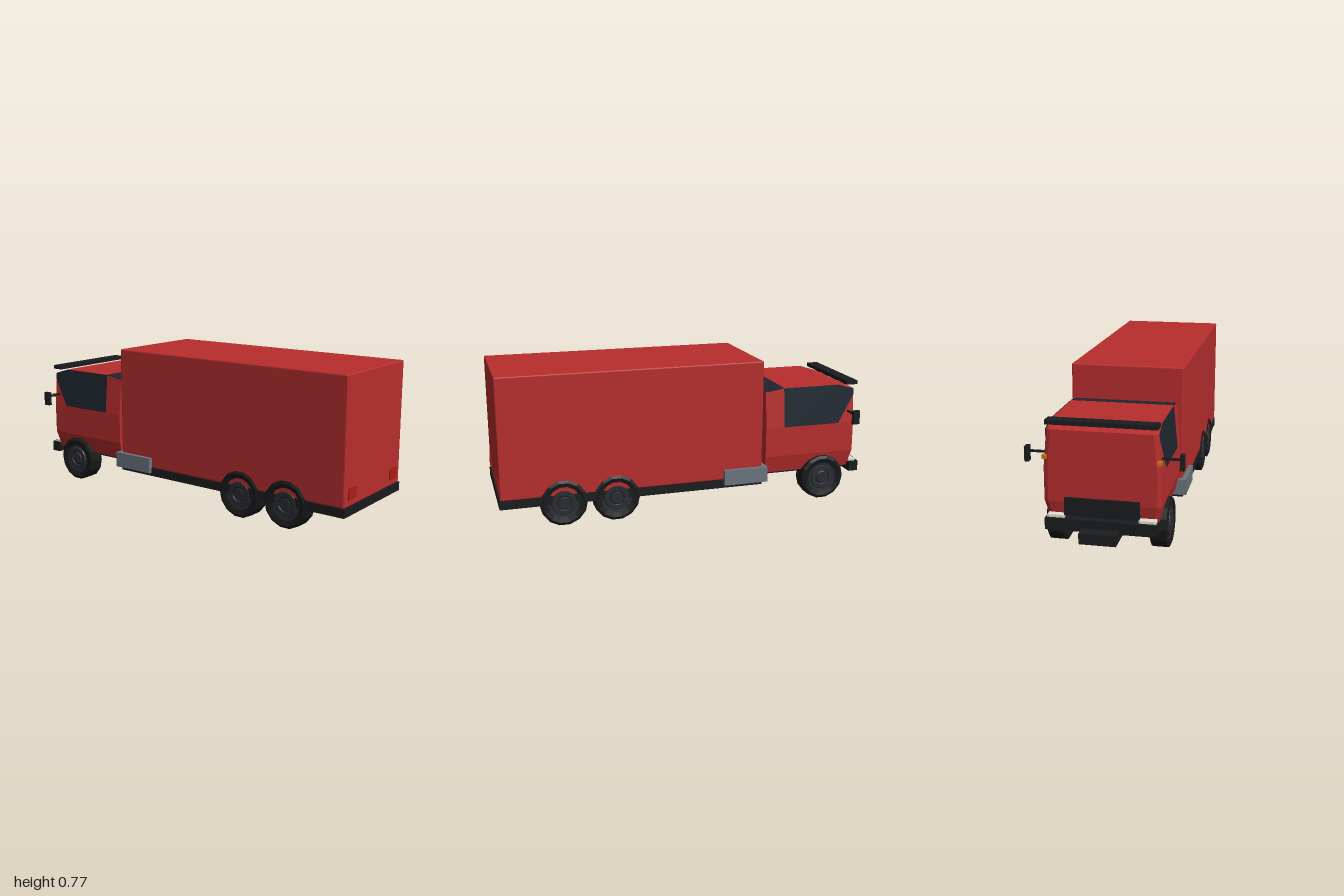
import * as THREE from 'three';
import { RoundedBoxGeometry } from 'three/addons/geometries/RoundedBoxGeometry.js';

const mat = (color) => new THREE.MeshStandardMaterial({ color, flatShading: true, side: THREE.DoubleSide });

export function createModel() {
  const truck = new THREE.Group();
  truck.name = 'boxTruck';
  const red = mat(0xb82e2e), black = mat(0x1a1c1e), glass = mat(0x1e2630), steel = mat(0x6b757e);
  const rubber = mat(0x191a1c), rim = mat(0x2b2d33), amber = mat(0xc87a10);
  const lamp = mat(0xe4e0d2), tail = mat(0xb01c14);

  const add = (name, geometry, material, parent = truck) => {
    const mesh = new THREE.Mesh(geometry, material);
    mesh.name = name;
    parent.add(mesh);
    return mesh;
  };
  // Box given by its limits on each axis
  const box = (name, material, [x0, x1], [y0, y1], [z0, z1]) => {
    const mesh = add(name, new THREE.BoxGeometry(x1 - x0, y1 - y0, z1 - z0), material);
    mesh.position.set((x0 + x1) / 2, (y0 + y1) / 2, (z0 + z1) / 2);
    return mesh;
  };
  // The same box on both sides
  const pair = (name, material, [x0, x1], ys, zs) => {
    box(name, material, [x0, x1], ys, zs);
    box(name, material, [-x1, -x0], ys, zs);
  };

  // Cargo body, bed and chassis
  const cargo = add('cargoBox', new RoundedBoxGeometry(0.56, 0.617, 1.36, 2, 0.007), red);
  cargo.position.set(0, 0.4665, 0.315);
  box('bed', black, [-0.283, 0.283], [0.115, 0.159], [-0.365, 1]);
  box('chassis', black, [-0.085, 0.085], [0.098, 0.148], [-1, 0.9]);
  pair('tailLight', tail, [0.173, 0.243], [0.19, 0.247], [0.985, 1]);
  pair('sideTank', steel, [0.225, 0.303], [0.133, 0.213], [-0.39, -0.153]);

  // Cab shell lofted through horizontal sections: [y, half width, front z, back z]
  const sections = [
    [0.165, 0.25, -0.88, -0.395],
    [0.255, 0.27, -0.9, -0.39],
    [0.41, 0.27, -0.9, -0.39],
    [0.59, 0.253, -0.9, -0.39],
    [0.605, 0.2515, -0.85, -0.39],
    [0.62, 0.25, -0.8, -0.49],
  ];
  const positions = [], index = [], n = 6;
  for (const [y, w, f, b] of sections) {
    positions.push(-w, y, b, w, y, b, w, y, f + 0.01, w - 0.02, y, f, -w + 0.02, y, f, -w, y, f + 0.01);
  }
  for (let s = 0; s < sections.length - 1; s++) {
    for (let i = 0; i < n; i++) {
      const a = s * n + i, b = s * n + (i + 1) % n;
      index.push(a, b, b + n, a, b + n, a + n);
    }
  }
  const top = (sections.length - 1) * n;
  for (let i = 1; i < n - 1; i++) index.push(0, i + 1, i, top, top + i, top + i + 1);
  const shell = new THREE.BufferGeometry();
  shell.setAttribute('position', new THREE.Float32BufferAttribute(positions, 3));
  shell.setIndex(index);
  shell.computeVertexNormals();
  add('cabShell', shell, red);

  // Side windows lean inward with the cab walls
  const outline = [[-0.49, 0.413], [-0.49, 0.619], [-0.8, 0.619], [-0.89, 0.592], [-0.89, 0.565], [-0.8, 0.413]];
  for (const side of [1, -1]) {
    const pane = new THREE.ShapeGeometry(new THREE.Shape(outline.map(([z, y]) => new THREE.Vector2(z * side, y))));
    const p = pane.attributes.position;
    for (let i = 0; i < p.count; i++) {
      const y = p.getY(i), z = p.getX(i) * side;
      p.setXYZ(i, side * (0.274 - (y - 0.41) * 0.0945), y, z);
    }
    pane.computeVertexNormals();
    add('sideWindow', pane, glass);
  }

  // Dark panel on the sloped rear edge of the roof
  const slope = Math.atan2(0.015, 0.1);
  const panel = add('rearRoofPanel', new THREE.BoxGeometry(0.503, 0.004, 0.101), glass);
  panel.position.set(0, 0.6125, -0.44);
  panel.rotation.x = slope;

  // Cab fittings
  box('sunVisor', black, [-0.255, 0.255], [0.615, 0.635], [-0.912, -0.85]);
  box('grille', black, [-0.172, 0.172], [0.195, 0.278], [-0.915, -0.89]);
  box('frontBumper', black, [-0.258, 0.258], [0.13, 0.185], [-0.937, -0.885]);
  pair('headlight', lamp, [0.17, 0.25], [0.183, 0.197], [-0.922, -0.885]);
  pair('markerLight', amber, [0.25, 0.272], [0.454, 0.472], [-0.912, -0.888]);
  pair('mirrorArm', black, [0.255, 0.35], [0.468, 0.478], [-0.865, -0.855]);
  pair('mirror', black, [0.345, 0.364], [0.425, 0.497], [-0.878, -0.842]);

  // Wheels: lathed tyre and stepped rim, turned onto the x axis; +y of the profile faces outward
  const lathe = (points) => new THREE.LatheGeometry(points.map(([r, h]) => new THREE.Vector2(r, h)), 14);
  const tyre = lathe([[0.075, -0.036], [0.105, -0.044], [0.12, -0.036], [0.12, 0.036], [0.105, 0.044], [0.08, 0.036]]);
  const hub = lathe([[0, -0.03], [0.078, -0.034], [0.08, 0.036], [0.066, 0.034],
    [0.062, 0.041], [0.04, 0.041], [0.036, 0.036], [0.03, 0.042], [0, 0.042]]);
  for (const z of [-0.715, 0.415, 0.683]) {
    for (const side of [1, -1]) {
      const wheel = new THREE.Group();
      wheel.name = z < 0 ? 'frontWheel' : 'rearWheel';
      add('tyre', tyre, rubber, wheel);
      add('rim', hub, rim, wheel);
      wheel.position.set(side * 0.243, 0.12, z);
      wheel.rotation.z = -side * Math.PI / 2;
      truck.add(wheel);
    }
    // Axle beam
    const axle = add('axle', new THREE.CylinderGeometry(0.015, 0.015, 0.44, 8), black);
    axle.position.set(0, 0.12, z);
    axle.rotation.z = Math.PI / 2;
  }
  return truck;
}
